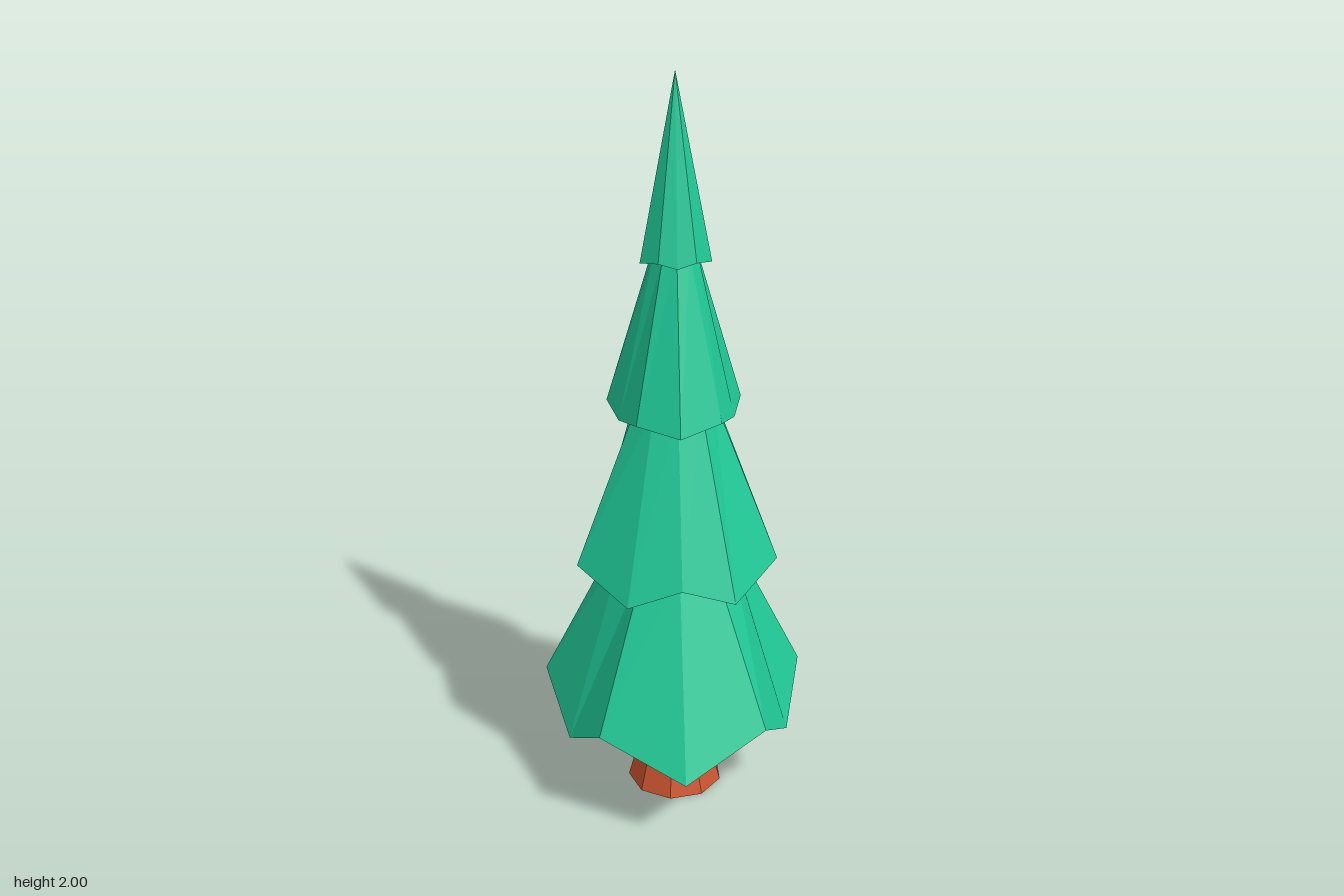
import * as THREE from 'three';

const AXIS_Z = -0.027;
const green = new THREE.MeshStandardMaterial({ color: 0x20c997, flatShading: true });
const brown = new THREE.MeshStandardMaterial({ color: 0xcf5530, flatShading: true });

// One skirt of branches: a ten-point zigzag hem drawn in to a smaller ring (or a point).
// hem: [x, z] from the front tip round to the back tip, mirrored in x.
function branchTier({ name, hem, frontY, otherY, topR, topY, underY }) {
  const mirrored = hem.slice(1, -1).reverse().map(([x, z]) => [-x, z]);
  const bottom = [...hem, ...mirrored].map(([x, z], i) =>
    new THREE.Vector3(x, i % 2 ? otherY : frontY, z));
  const n = bottom.length;
  const top = bottom.map((_, i) => {
    const a = (i / n) * Math.PI * 2;
    return new THREE.Vector3(Math.sin(a) * topR, topY, AXIS_Z + Math.cos(a) * topR);
  });
  const under = new THREE.Vector3(0, underY, AXIS_Z);
  const lid = new THREE.Vector3(0, topY, AXIS_Z);

  const points = [];
  for (let i = 0; i < n; i++) {
    const j = (i + 1) % n;
    points.push(bottom[i], bottom[j], top[j]); // sloping sides
    if (topR > 0) {
      points.push(bottom[i], top[j], top[i]);
      points.push(lid, top[i], top[j]); // hidden lid
    }
    points.push(under, bottom[j], bottom[i]); // underside
  }
  const geometry = new THREE.BufferGeometry().setFromPoints(points);
  geometry.computeVertexNormals();
  const mesh = new THREE.Mesh(geometry, green);
  mesh.name = name;
  return mesh;
}

const tiers = [
  {
    name: 'bottomBranches', frontY: 0.215, otherY: 0.31, topR: 0.15, topY: 0.75, underY: 0.265,
    hem: [[0, 0.335], [0.219, 0.235], [0.295, 0.09], [0.352, -0.12], [0.183, -0.31], [0, -0.338]],
  },
  {
    name: 'lowerMiddleBranches', frontY: 0.725, otherY: 0.67, topR: 0.1, topY: 1.17, underY: 0.7,
    hem: [[0, 0.212], [0.139, 0.19], [0.262, 0.05], [0.221, -0.105], [0.162, -0.212], [0, -0.288]],
  },
  {
    name: 'upperMiddleBranches', frontY: 1.123, otherY: 1.14, topR: 0.055, topY: 1.56, underY: 1.13,
    hem: [[0, 0.151], [0.107, 0.1], [0.147, 0.022], [0.173, -0.072], [0.09, -0.166], [0, -0.18]],
  },
  {
    name: 'treeTop', frontY: 1.532, otherY: 1.545, topR: 0, topY: 2, underY: 1.538,
    hem: [[0, 0.053], [0.047, 0.046], [0.089, -0.001], [0.076, -0.047], [0.054, -0.09], [0, -0.115]],
  },
];

export function createModel() {
  const tree = new THREE.Group();
  tree.name = 'tree';

  // Tapered nine-sided trunk
  const trunk = new THREE.Mesh(
    new THREE.CylinderGeometry(0.05, 0.13, 0.3, 9, 1, false, -Math.PI / 2), brown);
  trunk.name = 'trunk';
  trunk.position.set(0, 0.15, -0.035);
  tree.add(trunk);

  // Four stacked tiers of branches
  for (const tier of tiers) tree.add(branchTier(tier));
  return tree;
}
